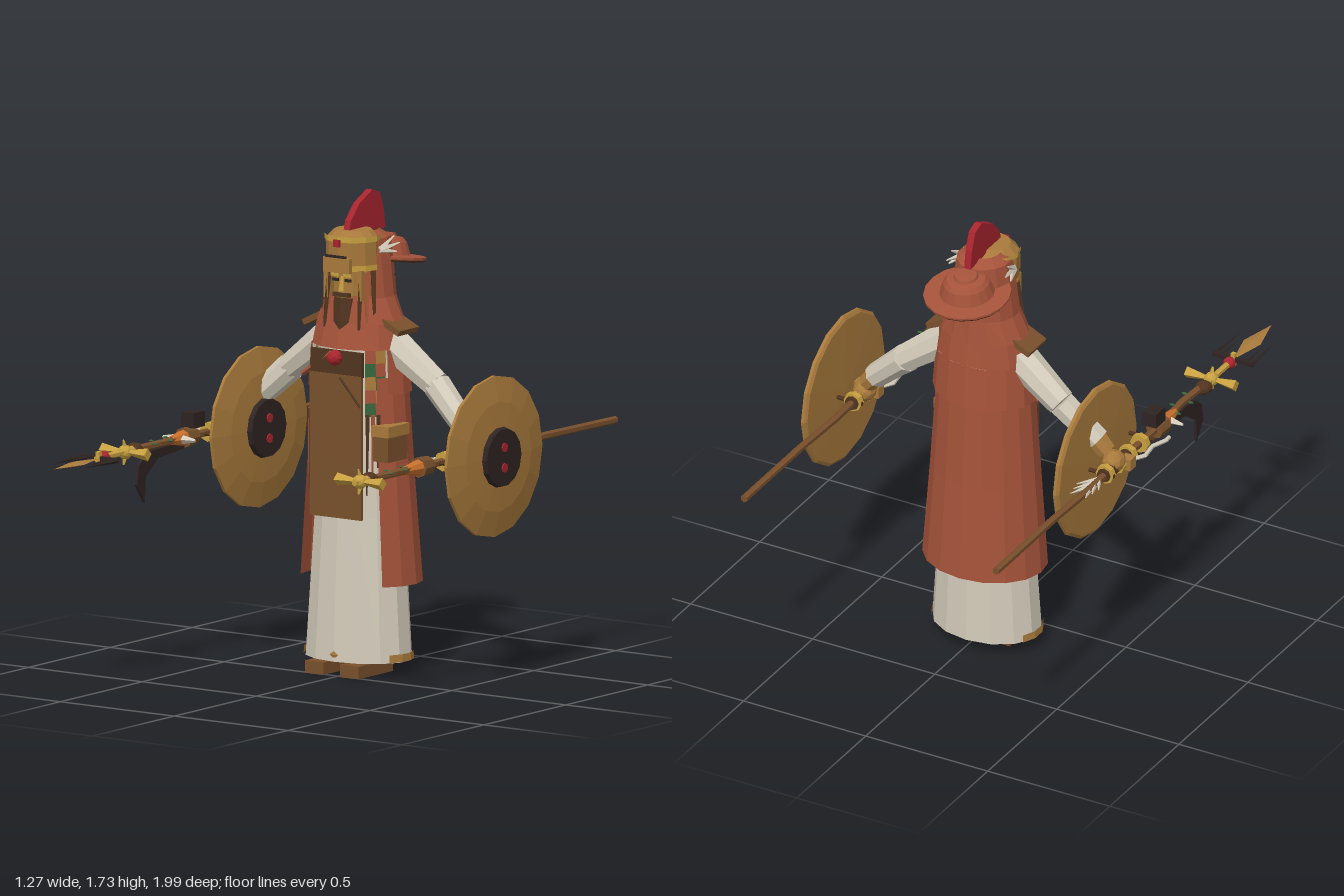
import * as THREE from 'three';

const mat = (name, color, side = THREE.FrontSide) => new THREE.MeshStandardMaterial({ name, color, side });
const M = {
  cloth: mat('linen', 0xd3cbba, THREE.DoubleSide),
  rust: mat('rust cloth', 0xa5533a, THREE.DoubleSide),
  brown: mat('leather brown', 0x79502c, THREE.DoubleSide),
  tan: mat('bronze tan', 0xa97a3c, THREE.DoubleSide),
  gold: mat('gold', 0xc7a040),
  dark: mat('near black', 0x2e2422),
  hair: mat('dark brown', 0x50341f, THREE.DoubleSide),
  red: mat('crimson', 0xa8242e),
  orange: mat('orange', 0xc9702c),
  green: mat('green', 0x35663a, THREE.DoubleSide),
};
const V = (p) => new THREE.Vector3(...p);

// Faceted mesh
function add(parent, name, geo, material) {
  const g = geo.index ? geo.toNonIndexed() : geo;
  g.computeVertexNormals();
  const mesh = new THREE.Mesh(g, material);
  mesh.name = name;
  parent.add(mesh);
  return mesh;
}
const box = (p, name, [w, h, d], pos, m) => {
  const b = add(p, name, new THREE.BoxGeometry(w, h, d), m);
  b.position.set(...pos);
  return b;
};
// Tapered rod from a to b
function rod(p, name, a, b, r0, r1, m, n = 6) {
  const d = V(b).sub(V(a));
  const mesh = add(p, name, new THREE.CylinderGeometry(r1, r0, d.length(), n), m);
  mesh.position.copy(V(a).add(V(b)).multiplyScalar(0.5));
  mesh.quaternion.setFromUnitVectors(new THREE.Vector3(0, 1, 0), d.normalize());
  return mesh;
}
function path(p, name, pts, r, m, n = 6) {
  for (let i = 1; i < pts.length; i++) rod(p, name, pts[i - 1], pts[i], r, r, m, n);
}
const ball = (p, name, r, pos, m, s = [1, 1, 1], detail = 1) => {
  const b = add(p, name, new THREE.IcosahedronGeometry(r, detail), m);
  b.position.set(...pos);
  b.scale.set(...s);
  return b;
};
const gemShape = (p, name, s, pos, m) => {
  const b = add(p, name, new THREE.OctahedronGeometry(1), m);
  b.scale.set(...s);
  b.position.set(...pos);
  return b;
};
// Plate drawn in the z-y plane
function sidePlate(p, name, pts, t, m) {
  const g = new THREE.ExtrudeGeometry(new THREE.Shape(pts.map((q) => new THREE.Vector2(...q))), { depth: t, bevelEnabled: false });
  g.translate(0, 0, -t / 2).rotateY(-Math.PI / 2);
  return add(p, name, g, m);
}
// Skin over elliptical rows [y, rx, rz, cz], bottom to top; angles in degrees from the front
function shell(p, name, rows, m, n = 12, a0 = 0, a1 = 360, caps = false) {
  const pos = [], idx = [], w = n + 1;
  for (const [y, rx, rz, cz] of rows) for (let i = 0; i <= n; i++) {
    const a = THREE.MathUtils.degToRad(a0 + ((a1 - a0) * i) / n);
    pos.push(rx * Math.sin(a), y, cz + rz * Math.cos(a));
  }
  for (let j = 0; j < rows.length - 1; j++) for (let i = 0; i < n; i++) {
    const k = j * w + i;
    idx.push(k, k + 1, k + w, k + 1, k + w + 1, k + w);
  }
  if (caps) {
    const top = (rows.length - 1) * w;
    for (let i = 1; i < n - 1; i++) idx.push(0, i + 1, i, top, top + i, top + i + 1);
  }
  const g = new THREE.BufferGeometry();
  g.setAttribute('position', new THREE.Float32BufferAttribute(pos, 3));
  g.setIndex(idx);
  return add(p, name, g, m);
}

function buildBody(b) {
  shell(b, 'robe', [[0.05, 0.21, 0.155, -0.155], [0.57, 0.175, 0.135, -0.16], [1.2, 0.15, 0.125, -0.165]], M.cloth, 14, 0, 360, true);
  shell(b, 'cloak', [[0.33, 0.235, 0.19, -0.17], [0.7, 0.208, 0.17, -0.165], [1.08, 0.183, 0.15, -0.165]], M.rust, 12, 50, 310);
  shell(b, 'shoulderCape', [[1.02, 0.2, 0.16, -0.165], [1.18, 0.188, 0.145, -0.165]], M.rust, 10, 62, 298);
  shell(b, 'collar', [[1.18, 0.188, 0.145, -0.165], [1.27, 0.172, 0.128, -0.168], [1.37, 0.125, 0.115, -0.17]], M.rust, 14);
  shell(b, 'hood', [[1.36, 0.13, 0.118, -0.17], [1.48, 0.115, 0.115, -0.172], [1.57, 0.1, 0.11, -0.172], [1.595, 0.06, 0.07, -0.17]], M.rust, 10, 48, 312);
  // Apron with darker chest band
  box(b, 'apron', [0.225, 0.52, 0.014], [0, 0.83, -0.018], M.brown);
  box(b, 'apronChest', [0.225, 0.09, 0.014], [0, 1.13, -0.022], M.hair);
  for (const s of [-1, 1]) {
    box(b, 'shoe', [0.08, 0.045, 0.21], [s * 0.077, 0.0225, -0.095], M.brown);
    // Patchwork sash
    for (let i = 0; i < 5; i++) for (let k = 0; k < 2; k++) {
      const y = 0.94 + i * 0.048, a = s * 52 + k * 14 - 14;
      shell(b, 'sashPatch', [[y, 0.17, 0.148, -0.165], [y + 0.048, 0.166, 0.146, -0.165]], [M.green, M.rust, M.tan][(i + k) % 3], 1, a, a + 14);
    }
    // Hanging strips
    for (let i = 0; i < 3; i++) {
      const x = s * (0.125 + i * 0.014);
      rod(b, 'hangingStrip', [x, 0.66 + i * 0.05, -0.03 - i * 0.014], [x, 0.95, -0.035 - i * 0.014], 0.003, 0.009, i === 1 ? M.rust : M.hair, 4);
    }
    shell(b, 'hemPatch', [[0.052, 0.214, 0.159, -0.155], [0.08, 0.212, 0.157, -0.155]], M.tan, 3, s * 90 - 28, s * 90 + 28);
    // Shoulder straps
    const pad = box(b, 'shoulderStrap', [0.085, 0.022, 0.12], [s * 0.172, 1.262, -0.165], M.brown);
    pad.rotation.z = -s * 0.45;
  }
  const hem = gemShape(b, 'hemPoint', [0.02, 0.014, 0.004], [0, 0.075, -0.002], M.tan);
  hem.rotation.z = Math.PI;
  ball(b, 'brooch', 0.029, [0, 1.15, -0.008], M.red);
  rod(b, 'chestStrap', [-0.17, 1.07, -0.05], [-0.02, 1.165, -0.015], 0.01, 0.01, M.rust, 4);
  rod(b, 'chestCord', [0.02, 1.08, -0.01], [0.11, 0.98, -0.01], 0.005, 0.005, M.hair, 4);
  // Belt pouch
  box(b, 'pouch', [0.065, 0.12, 0.12], [0.178, 0.845, -0.1], M.brown);
  box(b, 'pouchFlap', [0.075, 0.04, 0.13], [0.178, 0.895, -0.1], M.tan);
}

function buildHead(h) {
  shell(h, 'face', [[1.32, 0.05, 0.05, -0.11], [1.37, 0.07, 0.065, -0.115], [1.47, 0.075, 0.065, -0.115]], M.tan, 10, 0, 360, true);
  shell(h, 'beard', [[1.21, 0.025, 0.02, -0.055], [1.28, 0.048, 0.04, -0.075], [1.36, 0.055, 0.045, -0.088]], M.hair, 8, 0, 360, true);
  rod(h, 'nose', [0, 1.385, -0.045], [0, 1.44, -0.052], 0.012, 0.006, M.gold, 4);
  box(h, 'moustache', [0.07, 0.014, 0.016], [0, 1.372, -0.05], M.hair);
  // Helmet
  shell(h, 'helmet', [[1.455, 0.1, 0.095, -0.125], [1.57, 0.1, 0.095, -0.12], [1.602, 0.068, 0.065, -0.12]], M.tan, 12, 0, 360, true);
  for (const y of [1.462, 1.565]) shell(h, 'helmetBand', [[y, 0.104, 0.1, -0.122], [y + 0.02, 0.104, 0.1, -0.122]], M.gold, 12);
  box(h, 'visor', [0.115, 0.055, 0.018], [0, 1.483, -0.024], M.tan);
  box(h, 'visorSlot', [0.09, 0.009, 0.006], [0, 1.515, -0.014], M.dark);
  box(h, 'browBadge', [0.026, 0.026, 0.012], [0, 1.562, -0.02], M.red);
  for (const s of [-1, 1]) {
    box(h, 'eye', [0.026, 0.01, 0.006], [s * 0.027, 1.425, -0.05], M.dark);
    box(h, 'brow', [0.035, 0.01, 0.008], [s * 0.028, 1.443, -0.048], M.gold);
    box(h, 'cheekGuard', [0.018, 0.11, 0.05], [s * 0.075, 1.41, -0.08], M.tan);
    for (let i = 0; i < 3; i++) {
      rod(h, 'hairLock', [s * (0.075 + i * 0.02), 1.25 + i * 0.02, -0.05 - i * 0.02], [s * (0.07 + i * 0.012), 1.46, -0.07 - i * 0.02], 0.006, 0.013, i === 1 ? M.rust : M.hair, 4);
      rod(h, 'helmetFeather', [s * 0.1, 1.53, -0.14], [s * (0.115 + i * 0.006), 1.575 - i * 0.028, -0.21 - (i % 2) * 0.025], 0.014, 0.003, M.cloth, 4);
      ball(h, 'hoodStud', 0.007, [s * (0.035 + i * 0.03), 1.43, -0.283 + i * i * 0.012], M.dark, [1, 1, 1], 0);
    }
  }
  sidePlate(h, 'crest', [[-0.07, 1.57], [-0.09, 1.635], [-0.14, 1.69], [-0.22, 1.73], [-0.265, 1.715], [-0.29, 1.65], [-0.3, 1.58], [-0.19, 1.59]], 0.026, M.red);
  // Hat hanging behind the hood
  const hat = new THREE.Group();
  hat.name = 'hat';
  hat.position.set(0, 1.482, -0.3);
  hat.rotation.x = -0.14;
  h.add(hat);
  const profile = [[0, -0.01], [0.1, -0.01], [0.158, -0.006], [0.158, 0.002], [0.1, 0.006], [0.084, 0.05], [0.07, 0.066], [0.045, 0.07], [0.04, 0.08], [0, 0.082]];
  add(hat, 'hatBody', new THREE.LatheGeometry(profile.map((q) => new THREE.Vector2(...q)), 18), M.rust);
  add(hat, 'hatUnderside', new THREE.CylinderGeometry(0.154, 0.15, 0.006, 18), M.hair).position.y = -0.012;
}

function buildArm(b, s) {
  const elbow = [s * 0.32, 1.06, -0.185], wrist = [s * 0.455, 0.935, -0.16];
  rod(b, 'upperSleeve', [s * 0.13, 1.2, -0.17], elbow, 0.066, 0.052, M.cloth, 8);
  rod(b, 'lowerSleeve', elbow, wrist, 0.052, 0.046, M.cloth, 8);
  rod(b, 'cuff', wrist, [s * 0.49, 0.895, -0.155], 0.04, 0.036, M.tan, 8);
  ball(b, 'hand', 0.042, [s * 0.51, 0.85, -0.14], M.tan, [1, 1, 1.2]);
}

function buildShield(g) {
  const profile = [[0, 0], [0.28, 0.006], [0.292, 0.014], [0.292, 0.026], [0.2, 0.044], [0, 0.056]];
  const disc = new THREE.LatheGeometry(profile.map((q) => new THREE.Vector2(...q)), 16).rotateZ(-Math.PI / 2);
  add(g, 'shieldDisc', disc, M.tan);
  rod(g, 'shieldBoss', [0.04, 0, 0], [0.068, 0, 0], 0.112, 0.105, M.dark, 14);
  for (const y of [-0.037, 0.037]) rod(g, 'bossDot', [0.066, y, 0], [0.073, y, 0], 0.017, 0.017, M.red, 8);
  for (const z of [-0.07, 0.225]) rod(g, 'shieldBracket', [-0.1, 0, z], [0.01, 0, z], 0.008, 0.008, M.hair);
}

// Staff along z with its shared fittings
function buildStaff(g, s) {
  path(g, 'shaft', [[0.003, 0, -1], [0.001, 0.004, -0.6], [-0.006, 0.003, -0.35], [0, 0, -0.2], [0, 0, 0.2], [0.008, 0.003, 0.36], [0, 0, 0.54]], 0.014, M.brown);
  rod(g, 'grip', [0, 0, -0.23], [0, 0, -0.04], 0.026, 0.026, M.hair, 8);
  for (const z of [-0.22, -0.14, -0.06, 0.03]) rod(g, 'gripRing', [0, 0, z], [0, 0, z + 0.022], 0.036, 0.036, M.gold, 8);
  box(g, 'guard', [0.1, 0.045, 0.04], [0, 0, -0.1], M.tan);
  path(g, 'handGuard', [[-0.03, 0, -0.08], [-0.06, 0, -0.03], [-0.05, 0, 0.04], [-0.072, 0, 0.1], [-0.07, 0, 0.125]], 0.008, M.cloth);
  rod(g, 'socket', [0, 0, 0.14], [0, 0, 0.2], 0.034, 0.038, M.brown, 8);
  rod(g, 'orangeBinding', [0, 0, 0.18], [0, 0, 0.29], 0.033, 0.014, M.orange, 8);
  for (let i = 0; i < 4; i++) gemShape(g, 'leaf', [0.014, 0.005, 0.009], [(i % 2 ? 1 : -1) * 0.025, 0.01, 0.27 + i * 0.045], M.green);
  ball(g, 'knot', 0.032, [-0.005, 0, 0.49], M.hair, [1, 0.8, 1]);
  // Gold cross head
  rod(g, 'crossCore', [0, 0, 0.5], [0, 0, 0.59], 0.018, 0.012, M.gold);
  ball(g, 'crossHub', 0.027, [0, 0, 0.555], M.gold);
  for (const k of [-1, 1]) {
    const wing = rod(g, 'crossWing', [k * 0.015, 0, 0.555], [k * 0.1, 0, 0.555], 0.01, 0.026, M.gold, 4);
    wing.scale.z = wing.scale.x = 0.9;
    rod(g, 'crossSpur', [0, k * 0.015, 0.555], [0, k * 0.045, 0.565], 0.012, 0.004, M.gold, 4);
  }
}

// Trident head, hooked blade and rear barbs
function buildTrident(g) {
  rod(g, 'neck', [0, 0, 0.58], [0, 0, 0.73], 0.012, 0.012, M.gold);
  ball(g, 'neckGem', 0.023, [0, 0, 0.685], M.red);
  box(g, 'crossbar', [0.165, 0.016, 0.016], [0, 0, 0.715], M.dark);
  box(g, 'crossbarUpright', [0.016, 0.05, 0.016], [0, 0, 0.715], M.gold);
  for (const s of [-1, 1]) {
    rod(g, 'outerProng', [s * 0.078, 0, 0.71], [s * 0.07, 0, 0.89], 0.01, 0.001, M.dark, 4);
    rod(g, 'innerProng', [s * 0.052, 0, 0.71], [s * 0.05, 0, 0.83], 0.008, 0.001, M.dark, 4);
    for (let i = 0; i < 3; i++) rod(g, 'rearBarb', [0, 0, -0.26 - i * 0.025], [s * (0.045 - i * 0.007), 0.012, -0.34 - i * 0.035], 0.012, 0.002, M.cloth, 4);
    rod(g, 'sideBarb', [s * 0.02, 0, 0.23], [s * 0.07, 0, 0.225], 0.016, 0.006, M.cloth, 4);
  }
  gemShape(g, 'spearBlade', [0.034, 0.01, 0.14], [0, 0, 0.85], M.tan);
  box(g, 'darkBlock', [0.055, 0.055, 0.07], [0, 0.06, 0.14], M.dark);
  sidePlate(g, 'hookedBlade', [[0.17, -0.01], [0.42, -0.018], [0.475, -0.06], [0.488, -0.13], [0.44, -0.2], [0.435, -0.105], [0.36, -0.05], [0.17, -0.035]], 0.01, M.dark);
}

export function createModel() {
  const root = new THREE.Group();
  root.name = 'robedWarrior';
  const group = (name, parent, x = 0, y = 0, z = 0) => {
    const g = new THREE.Group();
    g.name = name;
    g.position.set(x, y, z);
    parent.add(g);
    return g;
  };
  const figure = group('figure', root, -0.02);
  buildBody(group('body', figure));
  buildHead(group('head', figure));
  for (const s of [-1, 1]) {
    const side = s > 0 ? 'left' : 'right';
    buildArm(group(side + 'Arm', figure), s);
    const staff = group(side + 'Staff', figure, s * 0.516, 0.836, 0);
    buildStaff(staff, s);
    if (s < 0) buildTrident(staff);
    buildShield(group(side + 'Shield', figure, s * 0.516 + 0.064, 0.836, -0.142));
  }
  return root;
}
